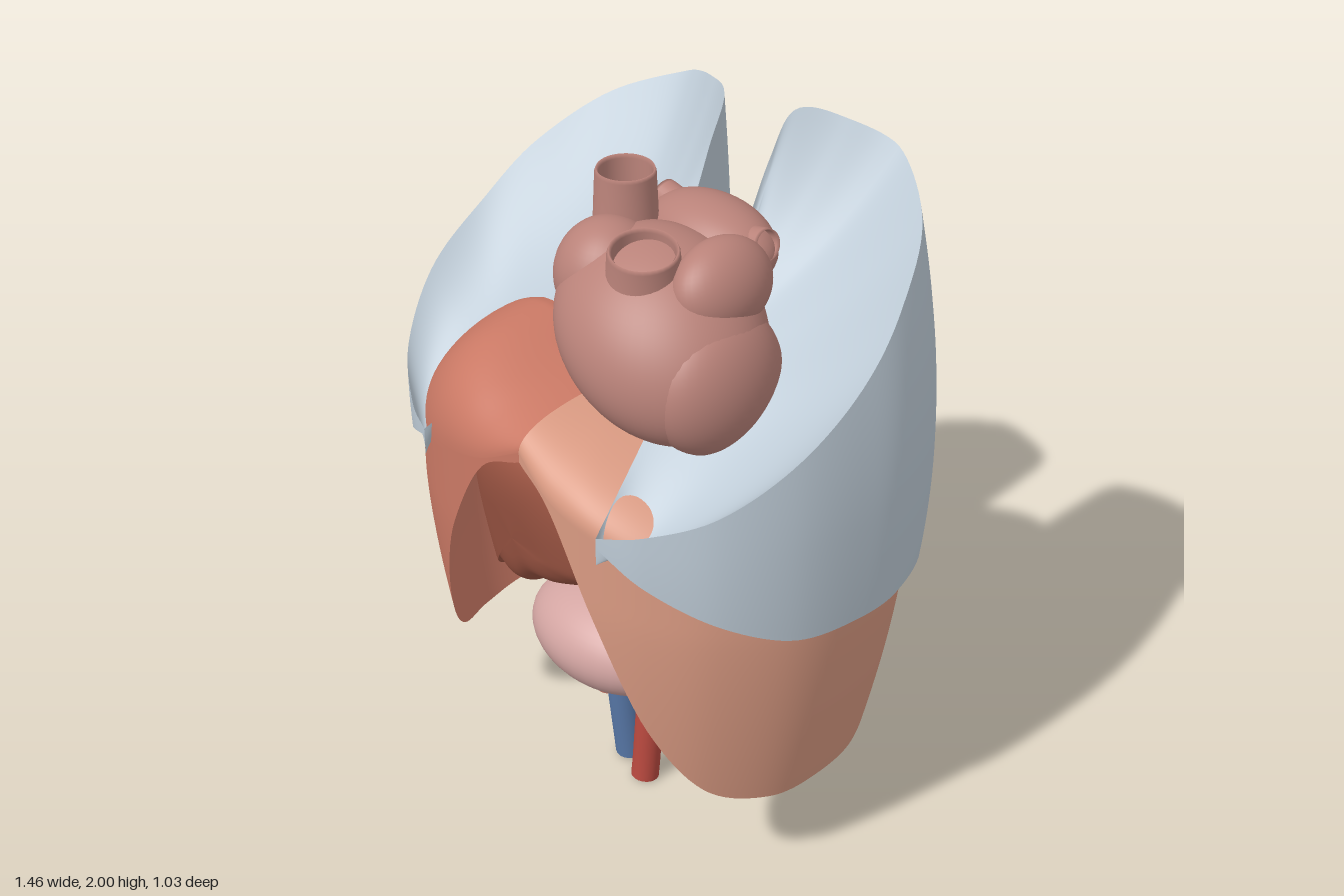
import * as THREE from 'three';

const V = (x, y, z) => new THREE.Vector3(x, y, z);
const mat = (color) => new THREE.MeshStandardMaterial({ color, side: THREE.DoubleSide });
const HEART = mat(0xb98279), PLEURA = mat(0xbecbd6), MUSCLE = mat(0xbb6f60);
const RED = mat(0xb9493f), BLUE = mat(0x5878a8), STOMACH = mat(0xd3a5a2);

// Smooth sheet from fn(a, b) with a, b in 0..1
function sheet(nu, nv, fn) {
  const pos = [], idx = [];
  for (let i = 0; i <= nu; i++) for (let j = 0; j <= nv; j++) pos.push(...fn(i / nu, j / nv).toArray());
  for (let i = 0; i < nu; i++) for (let j = 0; j < nv; j++) {
    const a = i * (nv + 1) + j, b = a + nv + 1;
    idx.push(a, b, a + 1, b, b + 1, a + 1);
  }
  const g = new THREE.BufferGeometry();
  g.setAttribute('position', new THREE.Float32BufferAttribute(pos, 3));
  g.setIndex(idx);
  g.computeVertexNormals();
  return g;
}

// Outline rows hold x, z, lower edge y, upper edge y
function outline(rows) {
  const path = new THREE.CatmullRomCurve3(rows.map((r) => V(r[0], 0, r[1])), false, 'catmullrom');
  const edge = new THREE.CatmullRomCurve3(rows.map((r) => V(r[2], r[3], 0)), false, 'catmullrom');
  return (t) => {
    const p = path.getPoint(t), e = edge.getPoint(t);
    return { x: p.x, z: p.z, lo: e.x, hi: e.y };
  };
}

const diaphragmLine = outline([
  [0, .49, 1.26, 1.29], [.13, .51, 1.19, 1.22], [.27, .5, .93, 1.18], [.42, .45, .58, 1.12],
  [.56, .35, .37, 1.06], [.67, .18, .31, 1], [.7, 0, .31, .97], [.67, -.2, .32, .97],
  [.56, -.36, .38, .97], [.38, -.43, .52, .97], [.2, -.36, .63, .98], [.08, -.2, .54, 1.02], [0, -.15, .68, 1.04],
]);
const pleuraBack = [
  [.69, .2, .92, 1.45], [.725, 0, .9, 1.58], [.715, -.18, .9, 1.72], [.62, -.38, .9, 1.85],
  [.4, -.51, .9, 1.94], [.24, -.47, .94, 1.99], [.13, -.39, 1, 2], [.11, -.3, 1.05, 1.88], [.1, -.2, 1.1, 1.68],
];
const pleuraLines = {
  left: outline([[.31, .515, 1.17, 1.2], [.44, .475, 1.09, 1.25], [.59, .37, 1, 1.33], ...pleuraBack]),
  right: outline([[.39, .485, 1.15, 1.17], [.48, .45, 1.11, 1.2], [.6, .36, 1.02, 1.29],
    ...pleuraBack.map(([x, z, lo, hi]) => [x, z, lo, 1.2 + (hi - 1.2) * .925])]),
};

// Dome is highest on the right and falls away to the left and the back
const domeHeight = (x, z) => 1.37 + .065 * Math.exp(-(((x + .36) / .18) ** 2)) - .24 * Math.max(0, x) - .25 * Math.max(0, .1 - z);

// Dome inward from the shoulder, w = 0 rim, w = 1 middle
function domePoint(t, w, side) {
  const o = diaphragmLine(t), k = 1 - w * w;
  const x = side * o.x * k, z = .1 + (o.z - .1) * k;
  return V(x, o.hi + (domeHeight(x, z) - o.hi) * Math.sqrt(1 - k ** 4), z);
}
// Side wall, narrowing downwards; at the spine it runs forward as it descends
function wallPoint(t, v, side) {
  const o = diaphragmLine(t), y = o.lo + (o.hi - o.lo) * v;
  const s = 1 - .14 * (Math.max(0, .95 - y) / .65) ** 1.5;
  const crus = o.z < 0 ? .4 * (o.hi - y) * Math.exp(-((o.x / .13) ** 2)) : 0;
  return V(side * o.x * s, y, o.z * s + crus);
}
// Pleura wall, leaning in towards the top and tucked in at the bottom
function pleuraPoint(t, v, side) {
  const o = pleuraLines[side > 0 ? 'left' : 'right'](t);
  const y = o.lo + (o.hi - o.lo) * v, d = (y - 1.2) / .8;
  const sx = o.x < .36 ? 1 : 1 - (d > 0 ? .38 : .2) * d * d, sz = 1 - (d > 0 ? .12 : .35) * d * d;
  return V(side * (.36 + (o.x - .36) * sx), y, o.z * sz);
}

export function createModel() {
  const root = new THREE.Group();
  const add = (name, geo, material, parent = root) => {
    const m = new THREE.Mesh(geo, material);
    m.name = name;
    parent.add(m);
    return m;
  };
  const blob = (name, c, r, material, parent = root) => {
    const m = add(name, new THREE.SphereGeometry(1, 40, 28), material, parent);
    m.position.set(...c);
    m.scale.set(...r);
    return m;
  };
  const tube = (name, pts, r, material) =>
    add(name, new THREE.TubeGeometry(new THREE.CatmullRomCurve3(pts.map((p) => V(...p))), 50, r, 20), material);

  for (const side of [-1, 1]) {
    const label = side > 0 ? 'left' : 'right';
    // Diaphragm half: wall and dome in one sheet
    add(label + 'Diaphragm', sheet(100, 50, (t, v) => v < .5 ? wallPoint(t, v * 2, side) : domePoint(t, v * 2 - 1, side)),
      mat(side > 0 ? 0xd99a82 : 0xca7965));

    // Pleura shell and the sagging inner surface that spans its slanted rim
    add(label + 'Pleura', sheet(90, 30, (t, v) => pleuraPoint(t, v, side)), PLEURA);
    const front = pleuraPoint(0, 1, side), back = pleuraPoint(1, 1, side);
    add(label + 'PleuraInnerSurface', sheet(90, 30, (t, w) => {
      const p = pleuraPoint(t, 1, side).lerp(front.clone().lerp(back, t), w);
      p.y -= .32 * w * (1 - w);
      return p;
    }), PLEURA);

    // Loin muscle: fluted, tapering upwards, with slips along its inner edge
    const muscle = new THREE.Group();
    muscle.name = label + 'LoinMuscle';
    root.add(muscle);
    const core = new THREE.CatmullRomCurve3([V(.22, .12, -.075), V(.18, .35, -.075), V(.155, .55, -.09), V(.14, .71, -.11)]);
    add('muscleBelly', sheet(24, 60, (v, a) => {
      const c = core.getPoint(v), th = a * Math.PI * 2, r = (1 - .82 * v ** 1.3) * (1 + .05 * Math.sin(th * 9 + v * 4));
      return V(side * (c.x + .11 * r * Math.cos(th)), c.y, c.z + .105 * r * Math.sin(th));
    }), MUSCLE, muscle);
    for (let i = 0; i < 5; i++) {
      const c = core.getPoint(.12 + i * .17);
      const slip = add('muscleSlip', new THREE.ConeGeometry(.032, .13, 8), MUSCLE, muscle);
      slip.position.set(side * (c.x - .085 + i * .012), c.y + .03, c.z - .04);
      slip.rotation.set(-.3, 0, side * .5);
    }
  }

  // Liver: cushion with a wavy lower margin, its underside sloping back as it descends
  const margin = new THREE.CatmullRomCurve3([[-.46, .53], [-.39, .61], [-.28, .63], [-.18, .68], [-.09, .76], [.02, .8],
    [.14, .86], [.28, .94], [.24, 1.08], [.12, 1.2], [0, 1.26], [-.2, 1.22], [-.4, 1.1], [-.48, .85]].map((p) => V(...p, 0)), true);
  add('liver', sheet(90, 30, (a, b) => {
    const m = margin.getPoint(a), r = Math.sin(Math.PI * b) ** .5;
    const x = -.12 + (m.x + .12) * r, y = .93 + (m.y - .93) * r;
    return V(x, y, .31 + .2 * (y - .95) - .65 * x * x + .13 * Math.cos(Math.PI * b));
  }), mat(0x9c5543));

  // Stomach
  blob('stomach', [.16, .73, .32], [.25, .14, .185], STOMACH);
  blob('stomachFundus', [.29, .86, .16], [.19, .19, .2], STOMACH);

  // Great vessels
  tube('aorta', [[.1, 1.63, -.28], [.105, 1.3, -.26], [.09, 1, -.2], [.07, .7, -.07], [.05, .4, .06], [.04, .01, .1]], .04, RED);
  tube('venaCava', [[-.06, .02, .06], [-.07, .35, .09], [-.09, .7, .1], [-.1, 1.1, .06], [-.1, 1.45, .04]], .045, BLUE);

  // Heart
  const heart = new THREE.Group();
  heart.name = 'heart';
  root.add(heart);
  const ventricles = new THREE.SphereGeometry(1, 56, 40);
  const vp = ventricles.attributes.position;
  for (let i = 0; i < vp.count; i++) {
    const x = vp.getX(i), y = vp.getY(i), z = vp.getZ(i);
    // lower end leans to the left and forward as the apex
    vp.setXYZ(i, .15 + .29 * x - .05 * y, 1.57 + .235 * y - .045 * x * (1 - y) / 2, .14 + .25 * z - .04 * y);
  }
  ventricles.computeVertexNormals();
  add('ventricles', ventricles, HEART, heart);
  blob('leftVentricle', [.33, 1.5, .13], [.125, .19, .2], HEART, heart).rotation.z = .1;
  blob('rightAtrium', [-.06, 1.59, .08], [.14, .2, .18], HEART, heart).rotation.z = -.08;
  blob('rightAuricle', [-.03, 1.66, .15], [.14, .15, .14], HEART, heart);
  blob('leftAtrium', [.08, 1.71, -.1], [.2, .11, .13], HEART, heart);
  blob('leftAuricle', [.28, 1.72, .06], [.09, .12, .15], HEART, heart).rotation.z = .35;

  // Open vessel stumps, flaring into the heart
  const stump = (name, r, h, p, rot) => {
    const prof = [[r * 1.35, -h], [r * 1.08, -h * .6], [r, -.01], [r * .95, 0], [r * .87, -.01], [r * .85, -h]];
    const m = add(name, new THREE.LatheGeometry(prof.map((q) => new THREE.Vector2(...q)), 32), HEART, heart);
    m.position.set(...p);
    m.rotation.set(...rot);
  };
  stump('upperVenaCava', .078, .25, [-.085, 1.895, .04], [0, 0, 0]);
  stump('arterialTrunk', .09, .17, [.15, 1.82, .2], [.12, 0, -.1]);
  for (const s of [-1, 1]) stump('lungVein', .042, .12, [.08 + s * .19, 1.76, -.11], [0, 0, -s * 1.3]);
  const lumen = add('venaCavaLumen', new THREE.CircleGeometry(.066, 32), BLUE, heart);
  lumen.rotation.x = -Math.PI / 2;
  lumen.position.set(-.085, 1.8, .04);

  return root;
}
